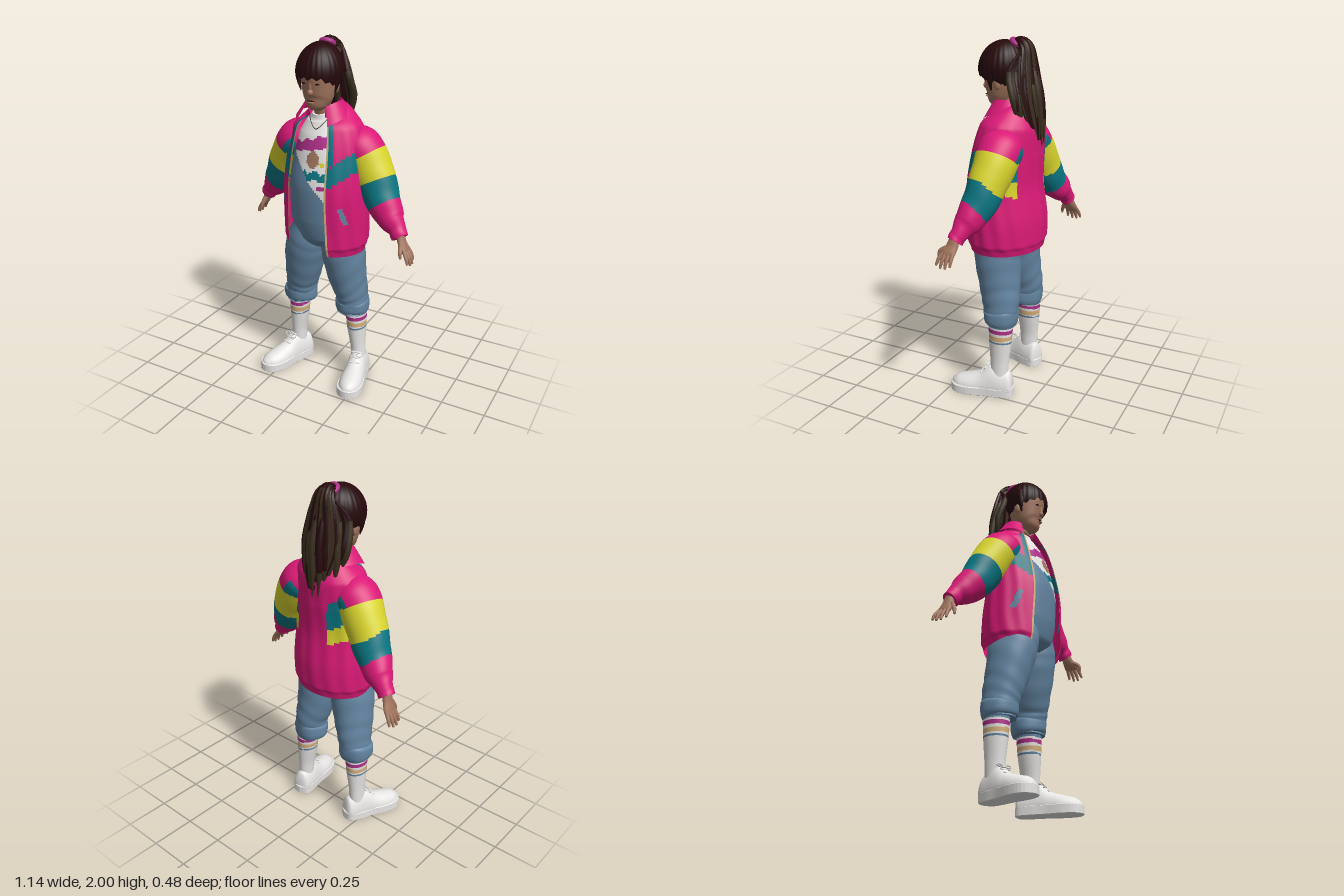
import * as THREE from 'three';
import { toCreasedNormals } from 'three/addons/utils/BufferGeometryUtils.js';

const mat = (name, color) => new THREE.MeshStandardMaterial({ name, color, side: THREE.DoubleSide });
const pink = mat('pink', 0xdb1a77), teal = mat('teal', 0x0a7682), yellow = mat('yellow', 0xd8d42e);
const denim = mat('denim', 0x6384a0), white = mat('white', 0xe8e6e4), skin = mat('skin', 0xa3765f);
const dark = mat('darkHair', 0x26090c), brown = mat('brownHair', 0x3a2f1f);
const purple = mat('purple', 0xb0308a), cream = mat('cream', 0xd6b07a);

const V = (x, y, z) => new THREE.Vector3(x, y, z);
const lerp = THREE.MathUtils.lerp, TAU = Math.PI * 2;

// the upper body is turned a little to its right
const TURN = 0.17, FRONT = V(-Math.sin(TURN), 0, Math.cos(TURN)), SIDE = V(Math.cos(TURN), 0, Math.sin(TURN));

// surface from f(u, v); paint is a material or a rule giving one per cell
function grid(name, f, nu, nv, paint) {
  const pos = [], lists = new Map(), P = [];
  for (let j = 0; j <= nv; j++) for (let i = 0; i <= nu; i++) {
    const p = f(i / nu, j / nv, j);
    P.push(p);
    pos.push(p.x, p.y, p.z);
  }
  for (let j = 0; j < nv; j++) for (let i = 0; i < nu; i++) {
    const a = j * (nu + 1) + i, b = a + 1, c = b + nu + 1, d = c - 1;
    const mid = P[a].clone().add(P[b]).add(P[c]).add(P[d]).multiplyScalar(0.25);
    const m = paint.isMaterial ? paint : paint(mid, (i + 0.5) / nu, (j + 0.5) / nv);
    if (!lists.has(m)) lists.set(m, []);
    for (const [k, l, n] of [[a, b, c], [a, c, d]]) {
      const area = P[l].clone().sub(P[k]).cross(P[n].clone().sub(P[k])).length();
      if (area > 1e-10) lists.get(m).push(k, l, n);
    }
  }
  let g = new THREE.BufferGeometry();
  g.setAttribute('position', new THREE.Float32BufferAttribute(pos, 3));
  const index = [], mats = [...lists.keys()];
  mats.forEach((m, k) => {
    g.addGroup(index.length, lists.get(m).length, k);
    index.push(...lists.get(m));
  });
  g.setIndex(index);
  g.scale(100, 100, 100);
  g = toCreasedNormals(g, 1.0);
  g.scale(0.01, 0.01, 0.01);
  const mesh = new THREE.Mesh(g, mats.length > 1 ? mats : mats[0]);
  if (mats.length === 1) g.clearGroups();
  mesh.name = name;
  return mesh;
}

// elliptical tube through rows [x, y, z, radiusA, radiusB]; radiusB lies along ref
function sweep(name, rows, paint, { nu = 20, nv = 20, ref = V(0, 0, 1), arc, bump, cap = true, floor } = {}) {
  const path = new THREE.CatmullRomCurve3(rows.map(r => V(r[0], r[1], r[2])));
  const radii = new THREE.CatmullRomCurve3(rows.map(r => V(r[3], r[4], 0)));
  return grid(name, (u, v, j) => {
    const t = cap ? THREE.MathUtils.clamp((j - 1) / (nv - 2), 0, 1) : v;
    const p = path.getPoint(t), T = path.getTangent(t), r = radii.getPoint(t);
    const A = ref.clone().cross(T).normalize(), B = T.clone().cross(A);
    const [a0, a1] = arc ? arc(t) : [0, TAU], th = lerp(a0, a1, u);
    const s = cap && (j === 0 || j === nv) ? 0 : bump ? bump(th, t) : 1;
    p.addScaledVector(A, Math.cos(th) * r.x * s).addScaledVector(B, Math.sin(th) * r.y * s);
    if (floor !== undefined) p.y = Math.max(p.y, floor);
    return p;
  }, nu, nv, paint);
}

function ball(name, m, x, y, z, rx, ry, rz) {
  const b = new THREE.Mesh(new THREE.SphereGeometry(1, 16, 12), m);
  b.name = name;
  b.position.set(x, y, z);
  b.scale.set(rx, ry, rz);
  return b;
}

function makeHead() {
  const g = new THREE.Group();
  g.name = 'head';
  g.add(sweep('neck', [[-.015, 1.56, -.01, .052, .052], [-.02, 1.63, .01, .046, .048], [-.02, 1.72, .03, .05, .05]], skin));
  g.add(sweep('face', [[-.02, 1.628, .082, .025, .025], [-.02, 1.65, .076, .052, .05], [-.02, 1.69, .058, .077, .078],
    [-.02, 1.75, .045, .09, .098], [-.02, 1.82, .04, .097, .112], [-.02, 1.9, .04, .085, .1], [-.02, 1.95, .04, .04, .05]], skin, { nu: 32, nv: 30 }));
  g.add(ball('nose', skin, -.02, 1.733, .141, .016, .017, .015), ball('noseBridge', skin, -.02, 1.765, .138, .009, .035, .01));
  g.add(ball('mouth', dark, -.02, 1.688, .134, .022, .003, .004), ball('lowerLip', skin, -.02, 1.678, .132, .018, .006, .008));
  for (const s of [-1, 1]) {
    g.add(ball('ear', skin, -.02 + s * .093, 1.755, .028, .014, .034, .02));
    g.add(ball('eye', dark, -.02 + s * .037, 1.778, .134, .015, .005, .007));
  }
  // hair cap with a fringe, longer at the temples; u = 0.25 is the front
  g.add(grid('hairCap', (u, v) => {
    const az = u * TAU, f = Math.sin(az);
    const limit = f > 0 ? lerp(2.1, 1.71, Math.min(1, f * f * 1.25)) : lerp(2.1, 2.6, -f);
    const ph = v * (limit + .05 * Math.sin(az * 17)), r = 1 + .014 * Math.sin(az * 26) * Math.sin(ph);
    const flare = lerp(.92, 1.02, v);
    return V(-.017 - .126 * r * flare * Math.sin(ph) * Math.cos(az), 1.84 + .138 * Math.cos(ph) - .014 * f * Math.sin(ph), .04 + .13 * r * Math.sin(ph) * f);
  }, 104, 24, dark));
  g.add(sweep('ponytail', [[-.02, 1.93, -.03, .028, .028], [-.02, 1.966, -.06, .03, .038], [-.02, 1.945, -.095, .033, .06],
    [-.02, 1.85, -.108, .042, .095], [-.018, 1.7, -.125, .05, .12], [-.01, 1.56, -.155, .036, .09], [0, 1.46, -.18, .01, .03]],
  (p, u, v) => (v > .3 && Math.sin(u * 60) > .2 ? brown : dark),
  { ref: V(1, 0, 0), nu: 60, nv: 30, bump: (th, t) => 1 + .05 * Math.sin(th * 13 + t * 4) }));
  // loose strands, longest in the middle, browner towards the tips
  for (let i = 0; i < 19; i++) {
    const k = i / 9 - 1, x = -.018 + k * .135, w = Math.sin(i * 2.4), e = Math.abs(k);
    const end = lerp(1.45, 1.57, e * e) + .025 * w, z = lerp(-.165, -.075, e * e) + .012 * w;
    g.add(sweep('hairStrand', [[-.02 + k * .06, 1.93, -.1, .008, .01], [-.02 + k * .115, 1.82, z + .03, .016, .018],
      [x, 1.7, z, .018, .022], [x * .95 + .012 * w, (1.7 + end) / 2, z - .012, .015, .018], [x * .8 + .015 * w, end, z - .02, .002, .002]],
    (p, u, v) => (v > (i % 2 ? .7 : .3) ? brown : dark), { nu: 8, nv: 14, ref: V(1, 0, 0) }));
  }
  for (const s of [-1, 1]) g.add(sweep('sideLock', [[-.02 + s * .11, 1.86, .05, .012, .03], [-.02 + s * .115, 1.78, .06, .008, .018],
    [-.02 + s * .1, 1.72, .06, .002, .004]], dark, { nu: 8, nv: 10 }));
  const tie = new THREE.Mesh(new THREE.TorusGeometry(.032, .014, 10, 24), purple);
  tie.name = 'hairTie';
  tie.position.set(-.02, 1.962, -.047);
  tie.rotation.x = -2.1;
  g.add(tie);
  return g;
}

// shirt print and bib, painted by height and width on the front
function torsoPaint(p) {
  const { x, y, z } = p;
  if (y < 1.25 - 1.1 * x && y < 1.4) return denim;
  if (z < 0) return white;
  if (Math.hypot(x, (y - 1.38) * .85) < .037) return skin;
  if (y > 1.43 + .2 * x && y < 1.49 + .3 * x + .008 * Math.sin(x * 90)) return purple;
  if (Math.abs(y - 1.295 - .01 * Math.sin(x * 80)) < .022 && x > -.05) return teal;
  if (Math.hypot(x - .055, y - 1.36) < .014) return yellow;
  if (Math.abs(y - 1.235) < .01 && x > .04) return purple;
  return white;
}

// coloured panels on chest and back, zip edge and pockets
function jacketPaint(p, u) {
  const lx = Math.abs(p.dot(SIDE)), front = p.dot(FRONT) > 0, y = p.y, edge = Math.min(u, 1 - u);
  if (edge < .009) return y < 1.56 ? cream : pink;
  if (edge < .035 && y > 1.36 && y < 1.58) return teal;
  if (front) {
    const k = y - .87 * (lx - .09);
    if (k > 1.2 && k < 1.315) return teal;
    if (Math.abs(lx - .205 - .25 * (1.09 - y)) < .01 && Math.abs(y - 1.09) < .055) return denim;
  } else if (lx > .125) {
    const k = y - .5 * (lx - .125);
    if (k > 1.25 && k < 1.4) return teal;
    if (k > 1.16 && k <= 1.25) return yellow;
  }
  return pink;
}

function makeUpperBody() {
  const g = new THREE.Group();
  g.name = 'upperBody';
  g.add(sweep('shirtAndBib', [[0, .87, 0, .13, .1], [-.003, .93, .008, .18, .15], [-.005, 1.03, .012, .2, .17], [-.005, 1.2, .015, .2, .175],
    [-.005, 1.36, .005, .185, .152], [-.01, 1.5, -.015, .15, .128], [-.015, 1.58, -.01, .1, .088], [-.02, 1.615, 0, .062, .062]],
  torsoPaint, { ref: FRONT, nu: 110, nv: 110 }));
  const chain = new THREE.CatmullRomCurve3([V(-.075, 1.6, .055), V(-.04, 1.56, .092), V(-.008, 1.535, .107), V(.025, 1.56, .094), V(.05, 1.6, .06)]);
  const necklace = new THREE.Mesh(new THREE.TubeGeometry(chain, 24, .002, 6), brown);
  necklace.name = 'necklace';
  g.add(necklace);
  // open jacket shell with soft folds
  const gap = t => lerp(.58, .5, Math.min(1, t * 2)) + (t > .8 ? (t - .8) * 1.2 : 0);
  const open = t => [Math.PI / 2 + gap(t), Math.PI * 2.5 - gap(t)];
  g.add(sweep('jacketBody', [[0, .845, 0, .235, .19], [0, .875, 0, .243, .197], [0, .9, 0, .254, .204], [0, 1.0, 0, .256, .204], [0, 1.2, .012, .25, .192],
    [0, 1.4, -.01, .236, .175], [-.005, 1.53, -.03, .208, .157], [-.01, 1.59, -.03, .152, .122], [-.015, 1.625, -.018, .102, .088]], jacketPaint,
  { ref: FRONT, nu: 120, nv: 90, cap: false, arc: open,
    bump: (th, t) => 1 + .012 * Math.sin(th * 15 + t * 9) * Math.sin(Math.PI * Math.min(1, t * 1.2)) }));
  // folded collar, dropping to points at the front
  g.add(grid('collar', (u, v) => {
    const th = lerp(Math.PI / 2 + .6, Math.PI * 2.5 - .6, u), f = Math.max(0, Math.sin(th)) ** 2;
    const out = v < .5 ? lerp(.082, .098, v * 2) : lerp(.098, .15, v * 2 - 1);
    const y = v < .5 ? lerp(1.58, 1.675 - .03 * f, v * 2) : lerp(1.675 - .03 * f, 1.595 - .05 * f, v * 2 - 1);
    return V(-.017, y, -.012).addScaledVector(SIDE, -Math.cos(th) * (out + f * v * .05)).addScaledVector(FRONT, Math.sin(th) * out * .9);
  }, 48, 12, pink));
  return g;
}

function makeArm(s, xs, zs, lift, hand) {
  const g = new THREE.Group();
  g.name = s > 0 ? 'leftArm' : 'rightArm';
  const ys = [1.49, 1.425, 1.3, 1.17, 1.08, 1.035, 1.0], r = [.07, .116, .116, .1, .076, .05, .046];
  const rows = xs.map((x, i) => [s * x, ys[i] + lift * i / 6, zs[i], r[i], r[i] * (i < 2 ? 1.05 : .92)]);
  // pink shoulder, teal wedge on the body side, yellow and teal bands dipping at the back
  g.add(sweep('sleeve', rows, (p, u, v) => {
    const back = Math.max(0, -Math.sin(u * TAU)), inner = -s * Math.cos(u * TAU);
    if (v < .235 - .05 * Math.max(0, inner)) return v > .12 && inner > -.15 ? teal : pink;
    if (v < .385 + .04 * back) return yellow;
    return v < .545 + .03 * back ? teal : pink;
  }, { nu: 48, nv: 90, bump: (th, t) => 1 + .03 * Math.sin(t * 34 + 2 * Math.sin(th)) * t }));
  // hand: palm, four fingers and a thumb
  const [hx, py, pz, tz] = hand, px = s * hx;
  const wx = s * xs[6], wy = 1 + lift, wz = zs[6];
  g.add(sweep('palm', [[wx, wy + .02, wz, .024, .026], [lerp(wx, px, .4), lerp(wy, py, .4), lerp(wz, pz, .4), .02, .034],
    [px, py, pz, .015, .042], [px + s * .006, py - .012, pz, .01, .036]], skin, { nu: 16, nv: 12 }));
  for (let i = 0; i < 4; i++) {
    const k = (i - 1.5) / 1.5, len = 1 - .18 * k * k, z0 = pz + k * .029;
    g.add(sweep('finger', [[px, py + .005, z0, .011, .011], [px + s * .028 * len, py - .035 * len, z0 + k * .007 + tz, .0105, .0105],
      [px + s * .042 * len, py - .073 * len, z0 + k * .012 + 1.5 * tz, .006, .006]], skin, { nu: 8, nv: 8 }));
  }
  g.add(sweep('thumb', [[lerp(wx, px, .4), lerp(wy, py, .4), wz + .02, .014, .014], [px - s * .01, py + .005, pz + .052, .012, .012],
    [px - s * .004, py - .03, pz + .06, .006, .006]], skin, { nu: 8, nv: 8 }));
  return g;
}

function makeLeg(s, xs, sockXs, cuff, turn) {
  const g = new THREE.Group();
  g.name = s > 0 ? 'leftLeg' : 'rightLeg';
  const ys = [.48, .55, .65, .8, .88, .97], zs = [-.03, -.03, -.015, .003, .004, .005];
  const w = [.088, .092, .107, .119, .115, .09], d = [.094, .106, .118, .136, .145, .135];
  g.add(sweep('trouserLeg', ys.map((y, i) => [s * xs[i], y, zs[i], w[i], d[i]]), denim,
    { nu: 40, nv: 36, bump: (th, t) => 1 + .022 * Math.sin(t * 40 + 3 * Math.sin(th + s)) * (1 - t) }));
  g.add(sweep('rolledCuff', [[s * cuff, .45, -.03, .07, .074], [s * cuff, .432, -.03, .09, .088], [s * cuff, .46, -.032, .1, .098],
    [s * cuff, .505, -.032, .098, .1], [s * cuff, .522, -.03, .08, .085]], denim, { nu: 36, nv: 16, bump: th => 1 + .02 * Math.sin(th * 5 + s) }));
  g.add(sweep('sock', [.1, .2, .33, .47].map((y, i) => [s * sockXs[i], y, -.042, [.042, .043, .056, .064][i], [.05, .055, .067, .075][i]]),
    p => (Math.abs(p.y - .427) < .007 || Math.abs(p.y - .33) < .005 ? denim
      : Math.abs(p.y - .397) < .011 ? purple : Math.abs(p.y - .358) < .013 ? cream : white), { nu: 28, nv: 76 }));

  const shoe = new THREE.Group();
  shoe.name = 'shoe';
  shoe.position.set(s * sockXs[0], 0, -.04);
  shoe.rotation.y = s * turn;
  const upper = [[-.078, .04, .07], [-.066, .052, .105], [-.02, .058, .118], [.03, .06, .135], [.06, .061, .125], [.11, .064, .088], [.18, .068, .066], [.24, .055, .05], [.276, .025, .025]];
  shoe.add(sweep('shoeUpper', upper.map(([z, a, b]) => [0, .04, z, a, b]), white, { ref: V(0, 1, 0), nu: 28, nv: 30, floor: .035 }));
  // thick sole cut from a rounded outline
  const outline = new THREE.Shape(new THREE.SplineCurve([[0, -.085], [.045, -.068], [.058, 0], [.06, .08], [.072, .18], [.055, .255], [0, .284],
    [-.055, .255], [-.072, .18], [-.06, .08], [-.058, 0], [-.045, -.068], [0, -.085]].map(([x, y]) => new THREE.Vector2(x, -y))).getPoints(48));
  const sole = new THREE.Mesh(new THREE.ExtrudeGeometry(outline, { depth: .044, bevelSize: .003, bevelThickness: .003, bevelSegments: 1 }), white);
  sole.name = 'sole';
  sole.rotation.x = -Math.PI / 2;
  sole.position.y = .003;
  shoe.add(sole);
  // laces and bow
  for (let i = 0; i < 3; i++) shoe.add(ball('lace', white, 0, .172 - i * .021, .05 + i * .025, .034, .006, .007));
  for (const k of [-1, 1]) {
    const bow = new THREE.Mesh(new THREE.TorusGeometry(.02, .004, 6, 16), white);
    bow.name = 'bowLoop';
    bow.position.set(k * .026, .168, .07);
    bow.rotation.set(-.7, 0, k * .3);
    bow.scale.y = .55;
    shoe.add(bow);
  }
  g.add(shoe);
  return g;
}

export function createModel() {
  const model = new THREE.Group();
  model.name = 'girlInJacket';
  model.add(makeHead(), makeUpperBody());
  model.add(makeArm(1, [.1, .185, .268, .34, .41, .455, .478], [-.045, -.045, -.03, 0, .035, .055, .068], 0, [.52, .945, .085, .008]));
  model.add(makeArm(-1, [.1, .19, .275, .35, .425, .47, .495], [-.04, -.04, -.07, -.1, -.14, -.158, -.168], .005, [.527, .935, -.18, -.004]));
  model.add(makeLeg(1, [.155, .152, .132, .115, .106, .09], [.2, .193, .182, .175], .155, .19));
  model.add(makeLeg(-1, [.185, .178, .158, .13, .11, .09], [.212, .212, .207, .203], .19, .38));
  return model;
}
